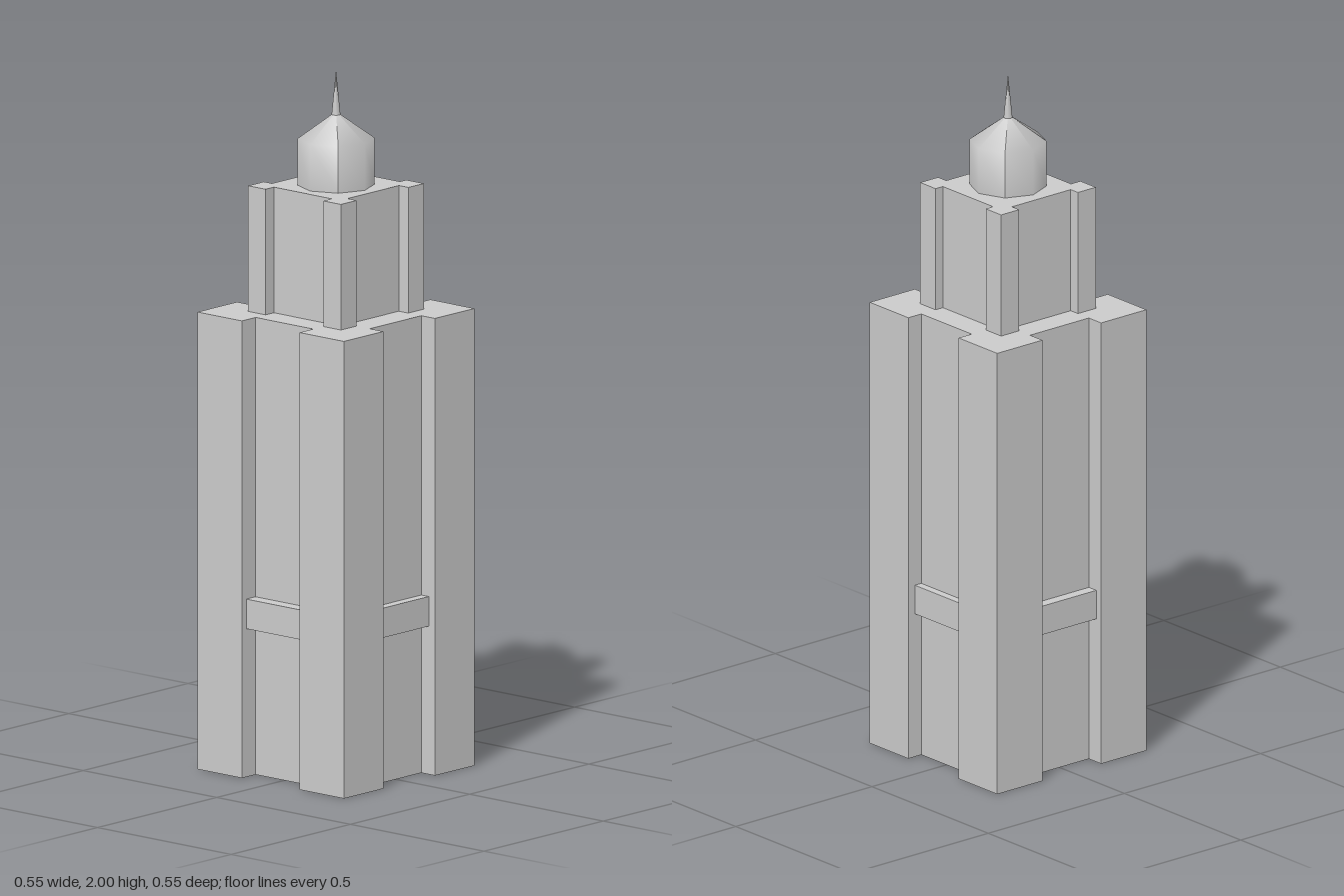
import * as THREE from 'three';

const grey = new THREE.MeshStandardMaterial({ color: 0xcccccc });

// Square plan of half-width h with a recess in each side, between corner piers starting at n
function tier(name, h, n, { right, left, back, front }, y0, y1) {
  const plan = [
    [h, -h], [h, -n], [right, -n], [right, n], [h, n],
    [h, h], [n, h], [n, back], [-n, back], [-n, h],
    [-h, h], [-h, n], [-left, n], [-left, -n], [-h, -n],
    [-h, -h], [-n, -h], [-n, -front], [n, -front], [n, -h],
  ].map(([x, y]) => new THREE.Vector2(x, y));
  const geometry = new THREE.ExtrudeGeometry(new THREE.Shape(plan), { depth: y1 - y0, bevelEnabled: false });
  geometry.rotateX(-Math.PI / 2).translate(0, y0, 0);
  const mesh = new THREE.Mesh(geometry, grey);
  mesh.name = name;
  return mesh;
}

export function createModel() {
  const group = new THREE.Group();
  const n = 0.108;

  // Main shaft and upper setback
  group.add(tier('mainShaft', 0.274, n, { right: 0.223, left: 0.221, back: 0.226, front: 0.216 }, 0, 1.31));
  group.add(tier('upperTier', 0.174, n, { right: 0.139, left: 0.143, back: 0.147, front: 0.139 }, 1.31, 1.67));

  // Ledge across each recess: [name, inner face, outer face, turn about y]
  const ledges = [
    ['frontLedge', 0.21, 0.255, 0],
    ['leftLedge', 0.215, 0.251, Math.PI / 2],
    ['backLedge', 0.215, 0.25, Math.PI],
    ['rightLedge', 0.215, 0.253, -Math.PI / 2],
  ];
  for (const [name, inner, outer, turn] of ledges) {
    const geometry = new THREE.BoxGeometry(2 * n, 0.085, outer - inner);
    geometry.translate(0, 0.467, (inner + outer) / 2).rotateY(turn);
    const ledge = new THREE.Mesh(geometry, grey);
    ledge.name = name;
    group.add(ledge);
  }

  // Octagonal lantern in four quarters, each smooth inside and creased at the diagonals
  const lantern = new THREE.Group();
  lantern.name = 'lantern';
  const profile = [[n, 1.67], [n, 1.803], [0, 1.88]].map(([r, y]) => new THREE.Vector2(r, y));
  for (let i = 0; i < 4; i++) {
    const geometry = new THREE.LatheGeometry(profile, 2, (i + 0.5) * Math.PI / 2, Math.PI / 2);
    geometry.computeVertexNormals();
    const quarter = new THREE.Mesh(geometry, grey);
    quarter.name = 'lanternQuarter';
    lantern.add(quarter);
  }
  group.add(lantern);

  // Needle spire
  const spire = new THREE.Mesh(new THREE.ConeGeometry(0.013, 0.135, 8), grey);
  spire.name = 'spire';
  spire.position.y = 1.9325;
  group.add(spire);

  return group;
}
